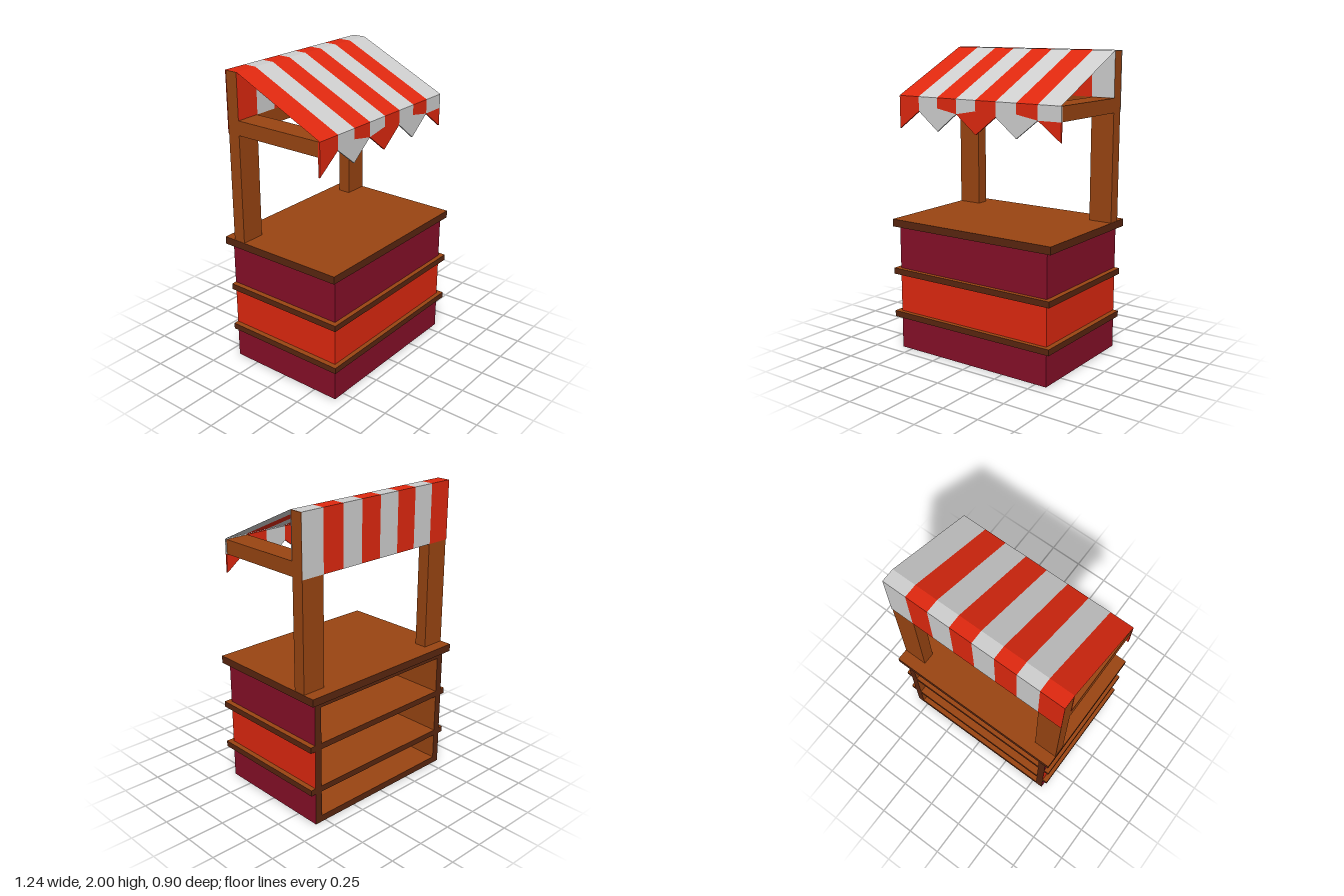
import * as THREE from 'three';

const mat = (name, color, side = THREE.FrontSide) => {
  const m = new THREE.MeshStandardMaterial({ color, side });
  m.name = name;
  return m;
};

export function createModel() {
  const wood = mat('wood', 0x9a4512);
  const darkWood = mat('darkWood', 0x5a2610);
  const burgundy = mat('burgundyPaint', 0x870f28);
  const red = mat('redCloth', 0xe0280f, THREE.DoubleSide);
  const white = mat('whiteCloth', 0xcfcfcf, THREE.DoubleSide);
  const redPaint = mat('redPaint', 0xe0280f);

  const model = new THREE.Group();
  model.name = 'marketStall';
  const group = (name) => {
    const g = new THREE.Group();
    g.name = name;
    model.add(g);
    return g;
  };

  // Box given by its limits; materials may be an array in +x -x +y -y +z -z order
  const box = (parent, name, [x0, x1], [y0, y1], [z0, z1], material) => {
    const mesh = new THREE.Mesh(new THREE.BoxGeometry(x1 - x0, y1 - y0, z1 - z0), material);
    mesh.position.set((x0 + x1) / 2, (y0 + y1) / 2, (z0 + z1) / 2);
    mesh.name = name;
    parent.add(mesh);
  };
  const slabMats = [darkWood, darkWood, wood, wood, darkWood, darkWood];

  // Counter: boards with painted walls between them, open at the back
  const counter = group('counter');
  box(counter, 'countertop', [-0.62, 0.62], [0.845, 0.895], [-0.447, 0.447], slabMats);
  for (const y of [0.22, 0.52])
    box(counter, 'shelf', [-0.615, 0.615], [y, y + 0.04], [-0.417, 0.45], slabMats);
  box(counter, 'floorBoard', [-0.53, 0.53], [0, 0.045], [-0.417, 0.37], slabMats);
  box(counter, 'ceilingBoard', [-0.53, 0.53], [0.805, 0.845], [-0.417, 0.37], slabMats);

  const tiers = [[0, 0.22, burgundy], [0.26, 0.52, redPaint], [0.56, 0.845, burgundy]];
  for (const [y0, y1, paint] of tiers) {
    box(counter, 'frontWall', [-0.53, 0.53], [y0, y1], [0.37, 0.42],
      [wood, wood, wood, wood, paint, wood]);
    box(counter, 'leftWall', [0.53, 0.58], [y0, y1], [-0.417, 0.42],
      [paint, wood, wood, wood, paint, darkWood]);
    box(counter, 'rightWall', [-0.58, -0.53], [y0, y1], [-0.417, 0.42],
      [wood, paint, wood, wood, paint, darkWood]);
  }

  // Frame: posts, forward arms and rear beam
  const frame = group('frame');
  for (const s of [-1, 1]) {
    const xs = s < 0 ? [-0.618, -0.457] : [0.457, 0.618];
    box(frame, 'post', xs, [0.89, 1.997], [-0.366, -0.282], wood);
    box(frame, 'arm', xs, [1.61, 1.703], [-0.282, 0.334], wood);
  }
  box(frame, 'rearBeam', [-0.457, 0.457], [1.61, 1.997], [-0.366, -0.282], wood);

  // Ribbon of cloth following a [z, y] path between two x limits
  const ribbon = (x0, x1, path) => {
    const pos = [], index = [];
    path.slice(1).forEach(([z1, y1], i) => {
      const [z0, y0] = path[i];
      const n = i * 4;
      pos.push(x0, y0, z0, x1, y0, z0, x1, y1, z1, x0, y1, z1);
      index.push(n, n + 2, n + 1, n, n + 3, n + 2);
    });
    const geo = new THREE.BufferGeometry();
    geo.setAttribute('position', new THREE.Float32BufferAttribute(pos, 3));
    geo.setIndex(index);
    geo.computeVertexNormals();
    return geo;
  };

  // Thin cut-out cloth at the canopy front
  const cutout = (points) => {
    const shape = new THREE.Shape(points.map(([x, y]) => new THREE.Vector2(x, y)));
    const geo = new THREE.ExtrudeGeometry(shape, { depth: 0.012, bevelEnabled: false });
    return geo.translate(0, 0, 0.336);
  };

  const canopy = group('canopy');
  const addCloth = (name, geo, material) => {
    const mesh = new THREE.Mesh(geo, material);
    mesh.name = name;
    canopy.add(mesh);
  };

  // Eight stripes: rear face, top edge, slope, inner rear face and front band
  const edges = [-0.62, -0.457, -0.304, -0.152, 0, 0.153, 0.305, 0.458, 0.62];
  const hem = edges.map((_, i) => (i % 2 === 0 && i > 0 && i < 8 ? 1.637 : 1.61));
  for (let i = 0; i < 8; i++) {
    const [x0, x1] = [edges[i], edges[i + 1]];
    const cloth = i % 2 ? white : red;
    addCloth('canopyStripe',
      ribbon(x0, x1, [[-0.37, 1.61], [-0.37, 2], [-0.28, 2], [0.348, 1.705]]), cloth);
    addCloth('innerStripe', ribbon(x0, x1, [[-0.279, 1.705], [-0.279, 1.999]]), cloth);
    addCloth('valanceBand',
      cutout([[x0, hem[i]], [x1, hem[i + 1]], [x1, 1.704], [x0, 1.704]]), cloth);
  }

  // Pennants alternate in colour, with half pennants at both ends
  for (let c = 0; c <= 8; c += 2) {
    const points = [[edges[c], 1.49]];
    if (c < 8) points.push([edges[c + 1], 1.61]);
    points.push([edges[c], hem[c]]);
    if (c > 0) points.push([edges[c - 1], 1.61]);
    addCloth('pennant', cutout(points), c % 4 ? white : red);
  }

  return model;
}
